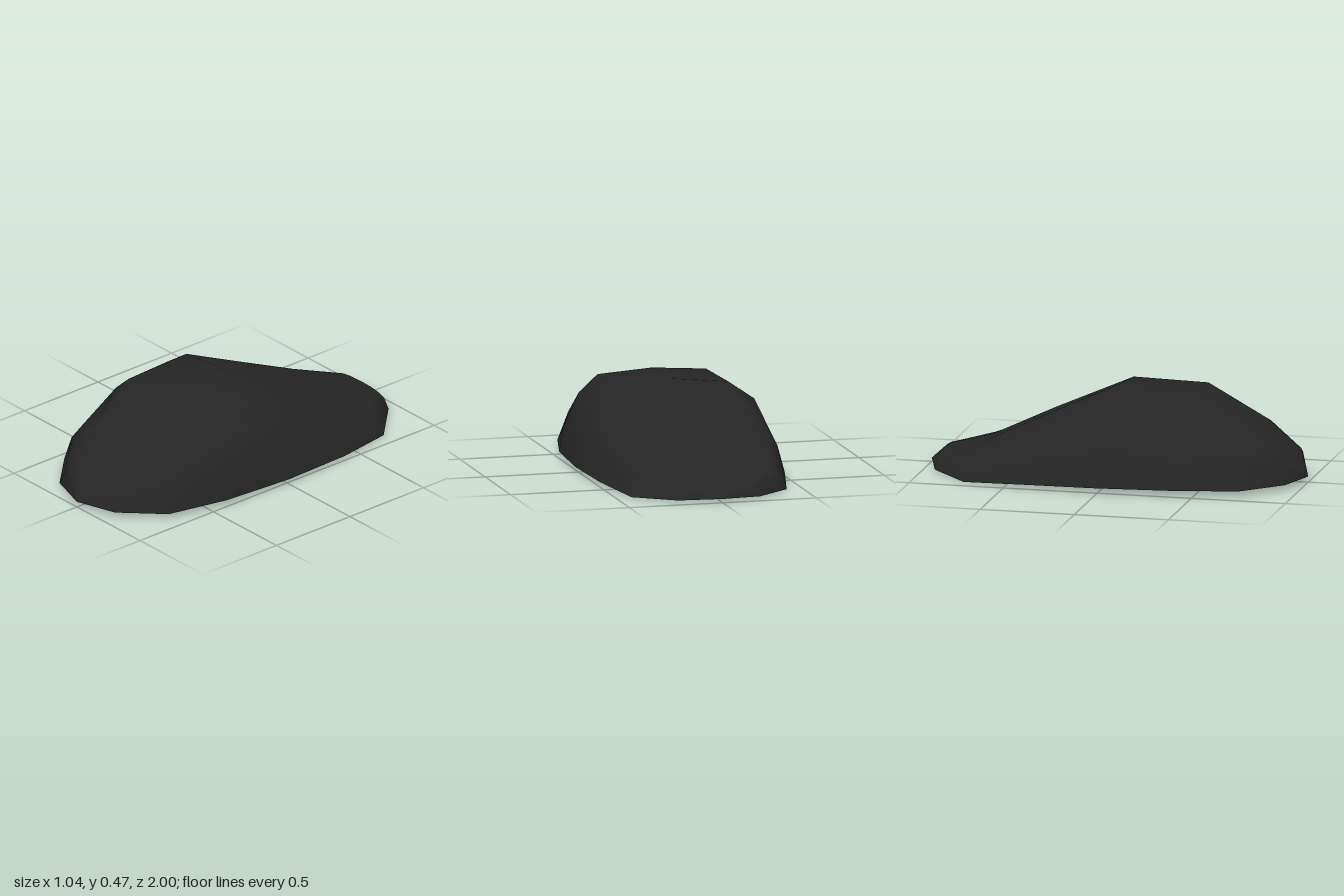
import * as THREE from 'three';

// Cross-sections from front to back: z, then half a section from rim to crown as [x, y]
const sections = [
  { z: 1.0, half: [[0, 0.03], [0, 0.03], [0, 0.03], [0, 0.03], [0, 0.03]] },
  { z: 0.93, half: [[0.22, 0.03], [0.175, 0.12], [0.14, 0.145], [0.08, 0.16], [0, 0.165]] },
  { z: 0.73, half: [[0.415, 0.03], [0.357, 0.175], [0.3, 0.245], [0.18, 0.29], [0, 0.3]] },
  { z: 0.4, half: [[0.495, 0.033], [0.47, 0.17], [0.39, 0.34], [0.29, 0.43], [0, 0.45]] },
  { z: 0, half: [[0.52, 0.03], [0.485, 0.18], [0.44, 0.34], [0.3, 0.437], [0, 0.467]] },
  { z: -0.4, half: [[0.495, 0.022], [0.456, 0.165], [0.4, 0.225], [0.26, 0.265], [0, 0.28]] },
  { z: -0.73, half: [[0.415, 0], [0.357, 0.085], [0.3, 0.105], [0.18, 0.117], [0, 0.12]] },
  { z: -0.93, half: [[0.22, 0.01], [0.185, 0.06], [0.14, 0.075], [0.08, 0.083], [0, 0.085]] },
  { z: -1.0, half: [[0, 0.02], [0, 0.02], [0, 0.02], [0, 0.02], [0, 0.02]] },
];

// Joins equal rows of points into a smooth skin, leaving out collapsed triangles
function loft(rows, flip) {
  const n = rows[0].length;
  const points = rows.flat();
  const index = [];
  const add = (a, b, c) => {
    const [p, q, r] = [points[a], points[b], points[c]];
    if (p.equals(q) || q.equals(r) || r.equals(p)) return;
    index.push(...(flip ? [a, c, b] : [a, b, c]));
  };
  for (let k = 0; k < rows.length - 1; k++) {
    for (let j = 0; j < n - 1; j++) {
      const a = k * n + j;
      const c = a + n;
      add(a, a + 1, c);
      add(a + 1, c + 1, c);
    }
  }
  const geometry = new THREE.BufferGeometry().setFromPoints(points);
  geometry.setIndex(index);
  geometry.computeVertexNormals();
  return geometry;
}

export function createModel() {
  const group = new THREE.Group();
  group.name = 'roundedShell';
  const black = new THREE.MeshStandardMaterial({ color: 0x262626 });
  black.name = 'soft black';

  // Mirror each half section across x = 0
  const rows = sections.map(({ z, half }) => [
    ...half.map(([x, y]) => new THREE.Vector3(-x, y, z)),
    ...half.slice(0, -1).reverse().map(([x, y]) => new THREE.Vector3(x, y, z)),
  ]);

  // Domed upper body
  const body = new THREE.Mesh(loft(rows, false), black);
  body.name = 'upperShell';
  group.add(body);

  // Closed underside spanning the rim
  const rim = rows.map((row) => [row[0], row[row.length - 1]]);
  const base = new THREE.Mesh(loft(rim, true), black);
  base.name = 'underside';
  group.add(base);

  return group;
}
